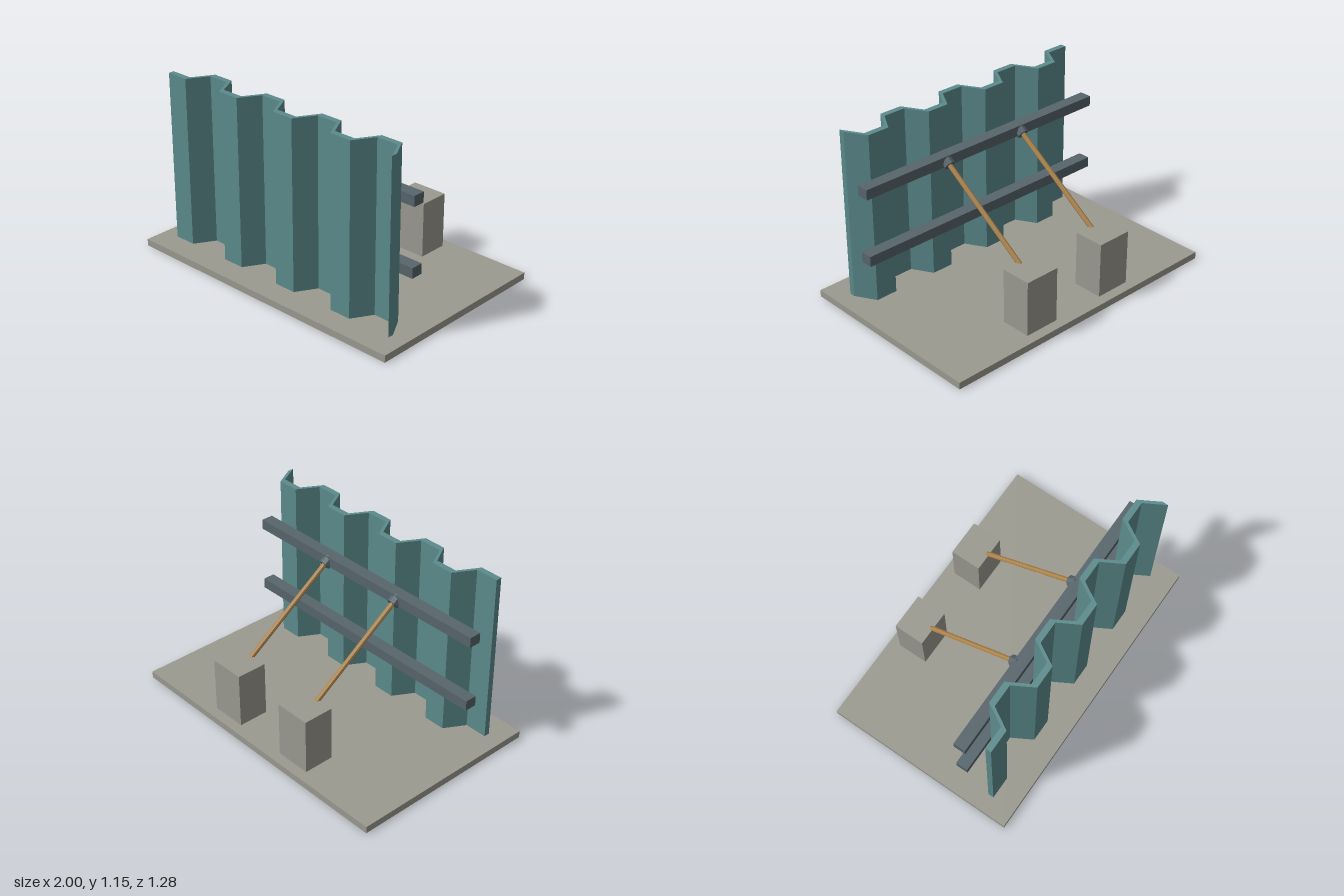
import * as THREE from 'three';

const mat = (name, color) => {
  const m = new THREE.MeshStandardMaterial({ color });
  m.name = name;
  return m;
};

export function createModel() {
  const group = new THREE.Group();
  const concrete = mat('concrete', 0x9b9a90);
  const teal = mat('teal sheet', 0x5c8b8c);
  const steel = mat('dark steel', 0x57656c);
  const wood = mat('tan rod', 0xa98149);

  const add = (name, geometry, material) => {
    const mesh = new THREE.Mesh(geometry, material);
    mesh.name = name;
    group.add(mesh);
    return mesh;
  };

  // Box given by its lower and upper limits
  const box = (name, [x0, x1], [y0, y1], [z0, z1], material) =>
    add(name, new THREE.BoxGeometry(x1 - x0, y1 - y0, z1 - z0), material)
      .position.set((x0 + x1) / 2, (y0 + y1) / 2, (z0 + z1) / 2);

  // Faceted cylinder between two points
  const bar = (name, a, b, radius, material) => {
    const dir = b.clone().sub(a);
    const geo = new THREE.CylinderGeometry(radius, radius, dir.length(), 8).toNonIndexed();
    geo.computeVertexNormals();
    const mesh = add(name, geo, material);
    mesh.position.copy(a).add(b).multiplyScalar(0.5);
    mesh.quaternion.setFromUnitVectors(new THREE.Vector3(0, 1, 0), dir.normalize());
  };

  const floorTop = 0.045;
  box('basePlate', [-1, 1], [0, floorTop], [-0.64, 0.64], concrete);

  // Corrugated sheet: trapezoid wave, thickened along z, extruded upward
  const pitch = 0.445, ridgeZ = 0.485, valleyZ = 0.353, thickness = 0.038;
  const wave = [];
  for (let i = 0; i < 4; i++) {
    const x = -0.89 + i * pitch;
    wave.push([x, ridgeZ], [x + 0.148, ridgeZ], [x + 0.225, valleyZ], [x + 0.37, valleyZ]);
  }
  wave.push([0.89, ridgeZ]);
  const outline = [
    ...wave.map(([x, z]) => new THREE.Vector2(x, -z)),
    ...wave.slice().reverse().map(([x, z]) => new THREE.Vector2(x, thickness - z)),
  ];
  const sheet = new THREE.ExtrudeGeometry(new THREE.Shape(outline), { depth: 1.11, bevelEnabled: false });
  sheet.rotateX(-Math.PI / 2).translate(0, floorTop, 0);
  add('corrugatedSheet', sheet, teal);

  // Horizontal rails behind the sheet
  box('lowerRail', [-0.91, 0.91], [0.357, 0.424], [0.236, 0.315], steel);
  box('upperRail', [-0.91, 0.91], [0.802, 0.868], [0.236, 0.315], steel);

  // Footing blocks, slanted braces and their collars
  for (const x of [-0.3, 0.3]) {
    const p = (y, z) => new THREE.Vector3(x, y, z);
    box('footingBlock', [x - 0.118, x + 0.118], [floorTop, 0.407], [-0.573, -0.373], concrete);
    bar('braceRod', p(0.83, 0.243), p(0.366, -0.43), 0.016, wood);
    bar('braceCollar', p(0.843, 0.268), p(0.81, 0.22), 0.037, steel);
  }
  return group;
}
